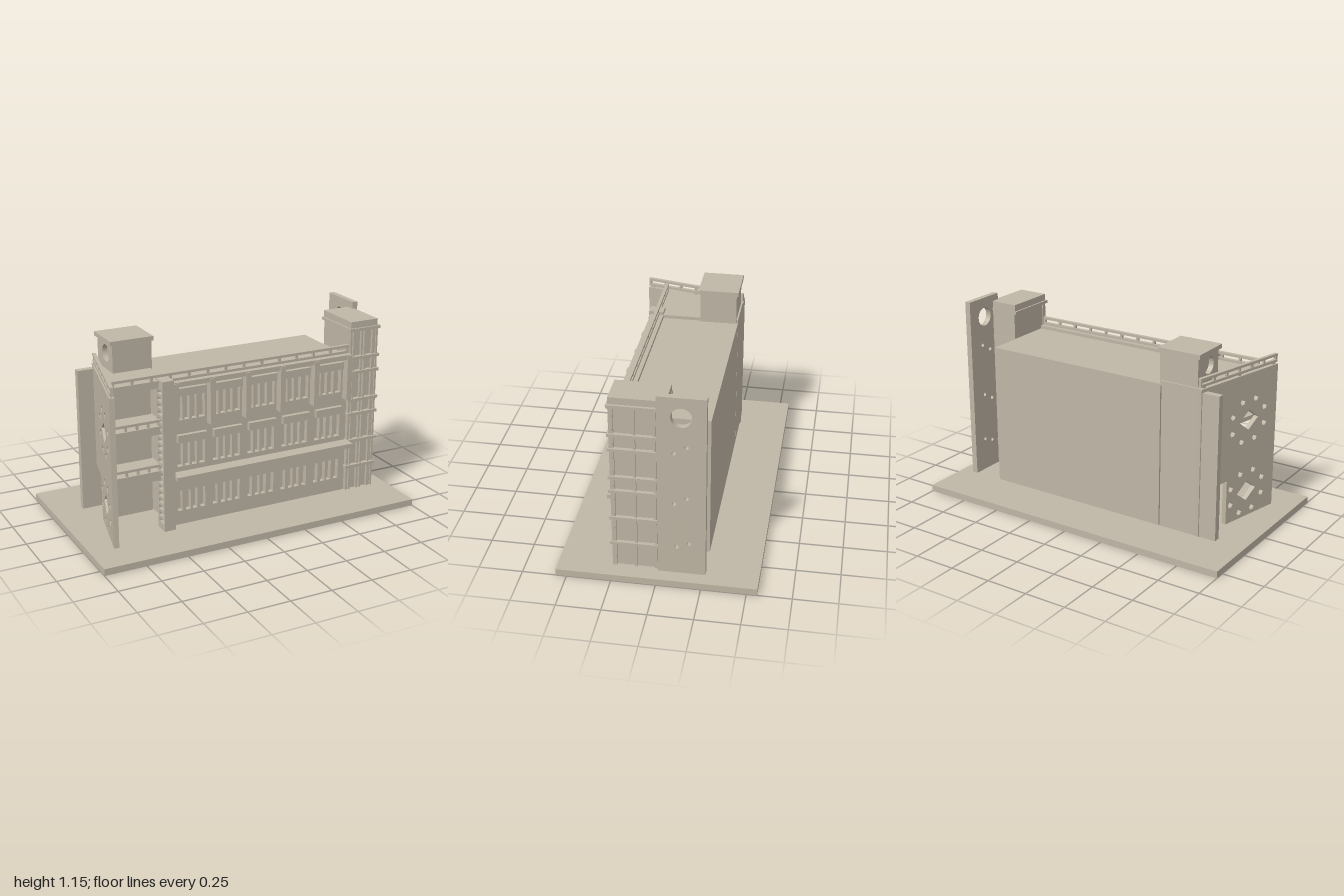
import * as THREE from 'three';

const stone = new THREE.MeshStandardMaterial({ color: 0xbfb6a5 });
stone.name = 'stone';

export function createModel() {
  const model = new THREE.Group();
  model.name = 'building';

  const add = (parent, name, geo) => {
    const m = new THREE.Mesh(geo, stone);
    m.name = name;
    parent.add(m);
    return m;
  };
  // Box given by its min and max along each axis
  const box = (name, x0, x1, y0, y1, z0, z1, parent = model) => {
    const m = add(parent, name, new THREE.BoxGeometry(x1 - x0, y1 - y0, z1 - z0));
    m.position.set((x0 + x1) / 2, (y0 + y1) / 2, (z0 + z1) / 2);
    return m;
  };
  const poly = pts => new THREE.Shape(pts.map(p => new THREE.Vector2(p[0], p[1])));
  const rect = (x0, x1, y0, y1) => poly([[x0, y0], [x1, y0], [x1, y1], [x0, y1]]);
  const circle = (x, y, r) => new THREE.Path().absarc(x, y, r, 0, Math.PI * 2, true);
  const extrude = (shape, depth, curveSegments = 16) =>
    new THREE.ExtrudeGeometry(shape, { depth, bevelEnabled: false, curveSegments });

  // Ground plate and main block
  box('base', -1, 1, 0, 0.04, -0.56, 0.56);
  box('mainBlock', -0.45, 0.71, 0.04, 0.9, -0.26, 0.205);

  // Facade plate with window openings
  const facade = rect(-0.45, 0.71, 0.04, 0.92);
  for (let i = 0; i < 5; i++) {
    const x = -0.412 + i * 0.226;
    for (const [y0, y1, h0, h1] of [[0.68, 0.84, 0.83, 0.875], [0.4, 0.56, 0.55, 0.597]]) {
      facade.holes.push(rect(x, x + 0.175, y0, y1));
      box('windowHood', x - 0.003, x + 0.178, h0, h1, 0.21, 0.262);
      for (const m of [0.036, 0.08, 0.125]) {
        box('mullion', x + m, x + m + 0.014, y0, h0, 0.2, 0.235);
      }
    }
    for (const m of [0, 0.052, 0.094, 0.145]) {
      facade.holes.push(rect(x + m, x + m + 0.03, 0.125, 0.25));
    }
  }
  add(model, 'facade', extrude(facade, 0.037)).position.z = 0.2;

  // Ledge, eaves and the piers beneath them
  box('ledge', -0.45, 0.715, 0.345, 0.37, 0.2, 0.32);
  box('eaves', -0.45, 0.71, 0.893, 0.92, 0.2, 0.28);
  for (let i = 0; i < 6; i++) {
    const x = -0.434 + i * 0.226;
    box('pier', x - 0.016, x + 0.016, 0.64, 0.915, 0.23, 0.287);
  }

  // Roof railing
  const railing = (name, x0, x1, n, y, z, parent = model) => {
    box(name + 'LowerBar', x0, x1, y, y + 0.015, z, z + 0.02, parent);
    box(name + 'UpperBar', x0, x1, y + 0.035, y + 0.05, z, z + 0.02, parent);
    for (let i = 0; i < n; i++) {
      const x = x0 + (x1 - x0 - 0.015) * i / (n - 1);
      box(name + 'Post', x, x + 0.015, y, y + 0.04, z + 0.003, z + 0.017, parent);
    }
  };
  railing('roofRailing', -0.8, 0.71, 14, 0.92, 0.225);

  // Slotted pillar between facade and balconies
  const pillar = rect(-0.29, -0.2, 0.04, 0.94);
  for (let i = 0; i < 20; i++) {
    const y = 0.08 + i * 0.041;
    pillar.holes.push(rect(-0.275, -0.215, y, y + 0.024));
  }
  const pm = add(model, 'slottedPillar', extrude(pillar, 0.07));
  pm.rotation.y = Math.PI / 2;
  pm.position.x = -0.52;

  // Stair core behind the balconies, with back fin and roof house
  box('stairCore', -0.7, -0.457, 0.04, 0.9, -0.26, -0.02);
  box('backFin', -0.82, -0.7, 0.04, 0.9, -0.26, -0.22);
  box('doorCanopy', -0.74, -0.63, 0.31, 0.332, -0.03, 0.04);
  box('roofHouse', -0.65, -0.44, 0.89, 1.09, -0.25, -0.03);
  const porthole = rect(-0.25, -0.03, 0.89, 1.09);
  porthole.holes.push(circle(-0.13, 1.015, 0.05));
  const ph = add(model, 'portholeWall', extrude(porthole, 0.03));
  ph.rotation.y = -Math.PI / 2;
  ph.position.x = -0.65;
  box('roofHouseCap', -0.695, -0.432, 1.085, 1.11, -0.262, -0.018);

  // Balcony floors and the wing roof, cut along the slanted wall
  const slab = (name, y, h, zBack) => {
    const edge = z => -0.685 - 0.234 * (z + 0.26);
    const s = poly([[edge(zBack), -zBack], [edge(0.24), -0.24], [-0.45, -0.24], [-0.45, -zBack]]);
    const m = add(model, name, extrude(s, h));
    m.rotation.x = -Math.PI / 2;
    m.position.y = y;
  };
  slab('wingRoof', 0.89, 0.03, -0.26);
  for (const [y, top] of [[0.345, 0.4], [0.62, 0.668]]) {
    slab('balconyFloor', y, 0.025, -0.05);
    box('balconyParapet', -0.8, -0.5, y, top, 0.215, 0.245);
    box('balconyRail', -0.8, -0.5, top + 0.023, top + 0.038, 0.22, 0.24);
    for (let i = 0; i < 5; i++) {
      const x = -0.795 + i * 0.068;
      box('balconyPost', x, x + 0.013, top, top + 0.025, 0.223, 0.237);
    }
  }

  // Slanted wall, pierced by diamonds with rings of small holes, and a doorway
  const wing = new THREE.Group();
  wing.name = 'slantedWall';
  wing.position.set(-0.685, 0, -0.26);
  wing.rotation.y = Math.atan2(-0.62, -0.145);
  model.add(wing);
  const wall = poly([[0, 0.04], [0.04, 0.04], [0.04, 0.31], [0.23, 0.31], [0.23, 0.04],
    [0.637, 0.04], [0.637, 0.92], [0, 0.92]]);
  for (const [s, y] of [[0.4, 0.64], [0.4, 0.2]]) {
    wall.holes.push(poly([[s - 0.08, y], [s, y - 0.06], [s + 0.08, y], [s, y + 0.06]]));
    for (let i = 0; i < 8; i++) {
      const a = (i + 0.5) * Math.PI / 4;
      const cx = s + 0.145 * Math.cos(a), cy = y + 0.13 * Math.sin(a);
      const hex = [];
      for (let k = 0; k < 6; k++) {
        hex.push([cx + 0.02 * Math.cos(k * Math.PI / 3), cy + 0.02 * Math.sin(k * Math.PI / 3)]);
      }
      wall.holes.push(poly(hex));
    }
  }
  add(wing, 'piercedWall', extrude(wall, 0.03));
  railing('wallRailing', 0, 0.637, 7, 0.93, 0.005, wing);
  for (const s of [0.02, 0.31, 0.6]) box('railFoot', s, s + 0.02, 0.91, 0.94, 0.008, 0.022, wing);

  // Glazed tower: inset core, poles and bands
  box('towerCore', 0.72, 0.893, 0.04, 1.06, -0.05, 0.238);
  box('towerCap', 0.715, 0.9, 1.06, 1.11, -0.05, 0.255);
  for (const x of [0.715, 0.735, 0.79, 0.812, 0.867, 0.893]) {
    box('frontPole', x, x + 0.012, 0.04, 1.06, 0.23, 0.255);
  }
  for (const z of [0.005, 0.115, 0.235]) {
    box('sidePole', 0.885, 0.906, 0.04, 1.06, z, z + 0.012);
  }
  for (const y of [0.185, 0.352, 0.525, 0.614, 0.788, 0.878, 1.052]) {
    box('towerBand', 0.705, 0.915, y, y + 0.018, -0.053, 0.265);
  }

  // Free-standing end wall with a round opening and small holes
  const endWall = rect(0, 0.265, 0.04, 1.15);
  endWall.holes.push(circle(0.132, 1.032, 0.057));
  for (const [z, y] of [[0.16, 0.857], [0.092, 0.816], [0.16, 0.536], [0.092, 0.496], [0.173, 0.242], [0.105, 0.215]]) {
    endWall.holes.push(circle(z, y, 0.012));
  }
  const ew = add(model, 'endWall', extrude(endWall, 0.035));
  ew.rotation.y = Math.PI / 2;
  ew.position.x = 0.886;

  return model;
}
